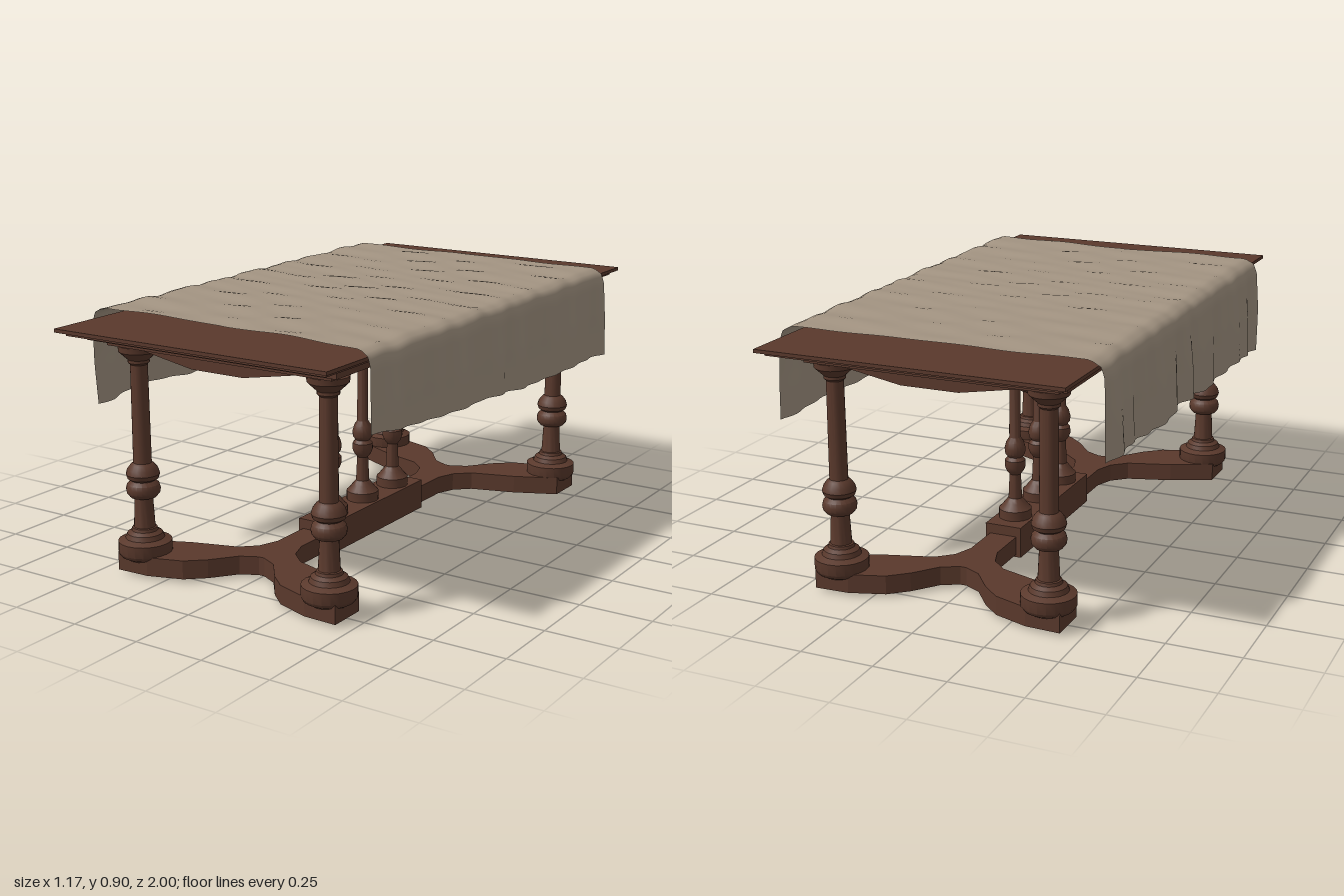
import * as THREE from 'three';
import { toCreasedNormals } from 'three/addons/utils/BufferGeometryUtils.js';

const wood = new THREE.MeshStandardMaterial({ color: 0x5a392c });
wood.name = 'dark wood';
const linen = new THREE.MeshStandardMaterial({ color: 0xa39482, side: THREE.DoubleSide });
linen.name = 'linen';

function add(parent, name, geometry, x = 0, y = 0, z = 0, material = wood) {
  const mesh = new THREE.Mesh(geometry, material);
  mesh.name = name;
  mesh.position.set(x, y, z);
  parent.add(mesh);
  return mesh;
}

const points = (list) => list.map(([x, y]) => new THREE.Vector2(x, y));

// Turned post from [radius, height] pairs, bottom to top
const turned = (profile) => toCreasedNormals(new THREE.LatheGeometry(points(profile), 20), 0.6);

// Box between two heights, given half sizes
function slab(parent, name, hx, hz, y0, y1) {
  add(parent, name, new THREE.BoxGeometry(2 * hx, y1 - y0, 2 * hz), 0, (y0 + y1) / 2, 0);
}

// Flat shape in plan, extruded upward from y0 to y1
function plan(shape, y0, y1) {
  const g = new THREE.ExtrudeGeometry(shape, { depth: y1 - y0, bevelEnabled: false });
  return g.rotateX(-Math.PI / 2).translate(0, y0, 0);
}

const rectangle = (a, b) => points([[-a, -b], [a, -b], [a, b], [-a, b]]);

// Rectangular frame with an open middle
function frame(parent, name, hx, hz, ix, iz, y0, y1) {
  const shape = new THREE.Shape(rectangle(hx, hz));
  shape.holes.push(new THREE.Path(rectangle(ix, iz).reverse()));
  add(parent, name, plan(shape, y0, y1));
}

function buildCloth() {
  const nu = 90, nv = 90;
  const g = new THREE.PlaneGeometry(1, 1, nu, nv);
  const pos = g.attributes.position;
  const mix = THREE.MathUtils.lerp;
  for (let i = 0; i < pos.count; i++) {
    const u = pos.getX(i) + 0.5;      // across, left hem to right hem
    const v = 0.5 - pos.getY(i);      // along, back to front
    // Cross-section: hanging side, rounded shoulder, flat top
    const hemL = 0.575 - 0.02 * v + 0.008 * Math.sin(v * 17);
    const hemR = mix(0.565, 0.635, v * v) + 0.004 * Math.sin(v * 14);
    const path = [[-0.575, hemL], [-0.568, 0.72], [-0.558, 0.84], [-0.545, 0.873], [-0.51, 0.892],
      [0, 0.891], [0.525, 0.890], [0.556, 0.873], [0.567, 0.84], [0.572, 0.72], [0.574, hemR]];
    const stops = [0, 0.1, 0.18, 0.21, 0.24, 0.5, 0.76, 0.79, 0.82, 0.9, 1];
    let k = 0;
    while (k < 9 && u > stops[k + 1]) k++;
    const t = (u - stops[k]) / (stops[k + 1] - stops[k]);
    let x = mix(path[k][0], path[k + 1][0], t);
    let y = mix(path[k][1], path[k + 1][1], t);
    const drop = Math.max(0, 0.88 - y) / 0.3;
    // Skewed front edge
    const front = x < 0 ? 0.775 - 0.03 * drop : 0.78 + 0.04 * Math.pow(x / 0.57, 2) + 0.01 * drop;
    const back = -0.795 + 0.01 * Math.sin(u * 9) * drop;
    const z = mix(back, front, v);
    // Soft wrinkles on top, vertical folds on the sides
    const ripple = Math.sin(z * 31 + x * 7 + 1.5 * Math.sin(x * 6)) * 0.5
      + Math.sin(z * 57 - x * 13 + 2 * Math.sin(z * 5)) * 0.3 + Math.sin(z * 19 + x * 21) * 0.3;
    y += 0.005 * ripple * (1 - Math.min(1, drop));
    const fold = Math.sin(z * 23 + 2 * Math.sin(z * 7)) * 0.6 + Math.sin(z * 47 + 1) * 0.4;
    x += (x < 0 ? 0.014 : 0.010) * fold * Math.min(1, drop * 1.5);
    pos.setXYZ(i, x, y, z);
  }
  g.computeVertexNormals();
  return g;
}

export function createModel() {
  const model = new THREE.Group();
  model.name = 'draped table';
  const table = new THREE.Group();
  table.name = 'table';
  table.position.x = 0.008;
  model.add(table);

  // Stepped top
  slab(table, 'tableTop', 0.525, 1, 0.85, 0.862);
  slab(table, 'topMoulding', 0.503, 0.97, 0.836, 0.85);
  frame(table, 'upperFrame', 0.485, 0.89, 0.25, 0.6, 0.81, 0.836);
  frame(table, 'lowerFrame', 0.44, 0.848, 0.3, 0.66, 0.79, 0.81);

  // Shaped aprons at the two ends
  const apron = new THREE.Shape(points([[-0.32, 0.8], [-0.32, 0.79], [-0.22, 0.772], [-0.1, 0.751],
    [0.1, 0.751], [0.22, 0.772], [0.32, 0.79], [0.32, 0.8]]));
  const apronGeo = new THREE.ExtrudeGeometry(apron, { depth: 0.07, bevelEnabled: false });
  add(table, 'frontApron', apronGeo, 0, 0, 0.765);
  add(table, 'backApron', apronGeo, 0, 0, -0.835);

  // Four turned legs
  const legGeo = turned([[0, 0.05], [0.065, 0.05], [0.082, 0.06], [0.091, 0.073], [0.091, 0.112], [0.066, 0.122],
    [0.06, 0.138], [0.045, 0.148], [0.042, 0.158], [0.036, 0.16], [0.031, 0.262], [0.045, 0.266],
    [0.056, 0.28], [0.058, 0.295], [0.054, 0.31], [0.04, 0.322], [0.052, 0.33], [0.057, 0.345],
    [0.052, 0.362], [0.04, 0.378], [0.031, 0.384], [0.029, 0.72], [0.036, 0.727], [0.036, 0.737],
    [0.048, 0.748], [0.066, 0.765], [0.068, 0.785], [0.05, 0.792], [0, 0.792]]);
  for (const x of [-0.375, 0.375])
    for (const z of [-0.77, 0.77])
      add(table, (z > 0 ? 'front' : 'back') + (x > 0 ? 'Left' : 'Right') + 'Leg', legGeo, x, 0, z);

  // Three slender posts on the central plinth
  slab(table, 'plinth', 0.067, 0.307, 0, 0.11);
  const postGeo = turned([[0.058, 0.108], [0.058, 0.143], [0.05, 0.15], [0.038, 0.165], [0.03, 0.175],
    [0.024, 0.182], [0.02, 0.27], [0.031, 0.284], [0.037, 0.3], [0.036, 0.322], [0.026, 0.334],
    [0.035, 0.346], [0.037, 0.365], [0.031, 0.388], [0.02, 0.405], [0.017, 0.84]]);
  for (const z of [-0.203, 0, 0.203]) add(table, 'centrePost', postGeo, 0, 0, z);

  // Forked stretchers; one half outline mirrored across the middle
  const half = [[0.05, 0.29], [0.05, 0.46], [0.075, 0.53], [0.13, 0.58], [0.29, 0.63], [0.44, 0.7],
    [0.44, 0.835], [0.32, 0.83], [0.2, 0.79], [0.137, 0.735], [0.07, 0.65], [0.011, 0.62]];
  const outline = [...half, ...half.map(([x, z]) => [-x, z]).reverse()];
  const stretcherGeo = plan(new THREE.Shape(points(outline)), 0.01, 0.075);
  add(table, 'backStretcher', stretcherGeo);
  add(table, 'frontStretcher', stretcherGeo).rotation.y = Math.PI;

  // Draped cloth
  add(model, 'cloth', buildCloth(), 0, 0, 0, linen);
  return model;
}
